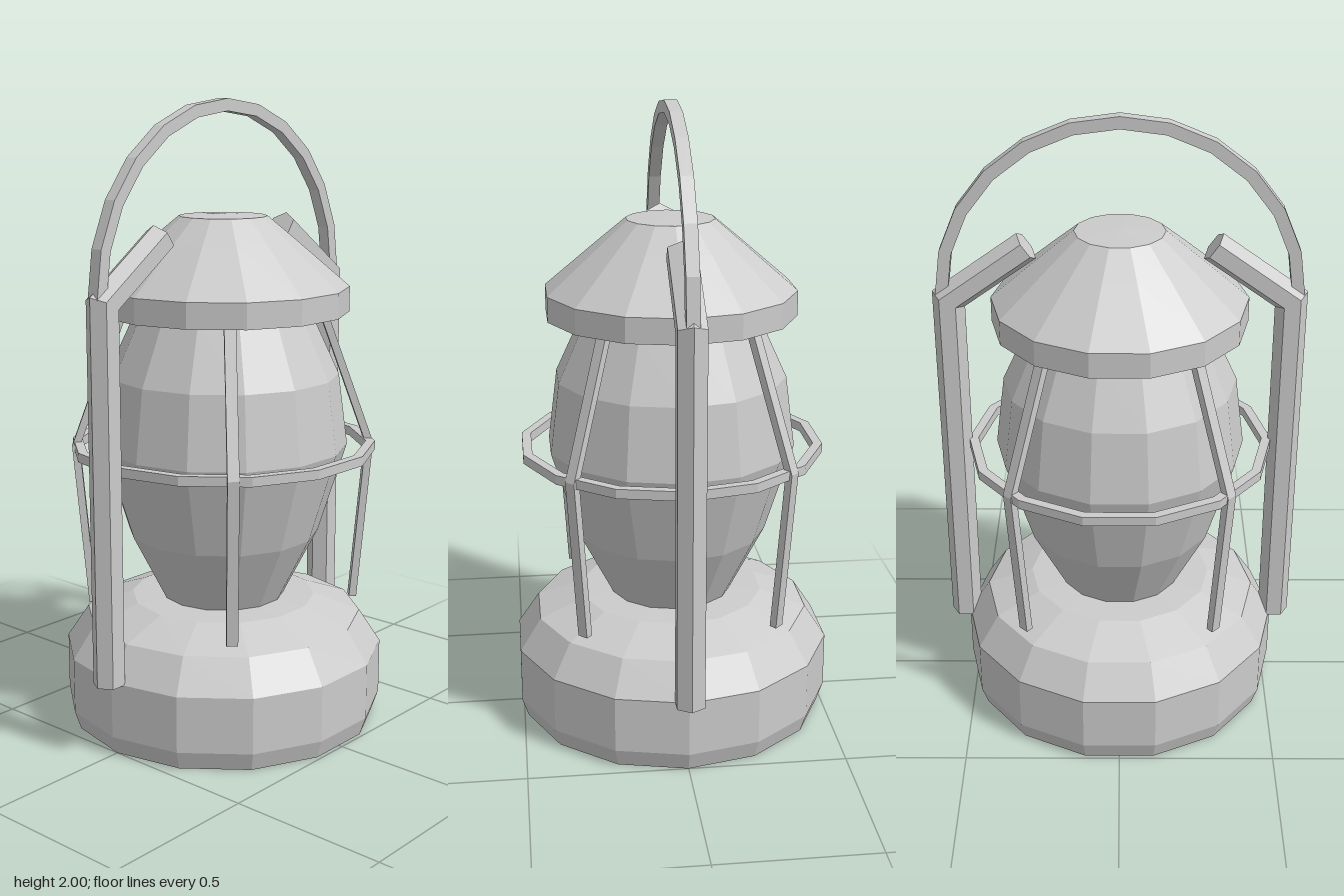
import * as THREE from 'three';

const SIDES = 14;
const material = new THREE.MeshStandardMaterial({ color: 0xcccccc, flatShading: true });

function mesh(name, geometry) {
  const flat = geometry.index ? geometry.toNonIndexed() : geometry;
  flat.computeVertexNormals();
  const m = new THREE.Mesh(flat, material);
  m.name = name;
  return m;
}

// Faceted turned part, with a corner on the x axis
function turned(name, profile) {
  const points = profile.map(([r, y]) => new THREE.Vector2(r, y));
  return mesh(name, new THREE.LatheGeometry(points, SIDES, Math.PI / 2));
}

// Capped, mitred bar: sweeps a section of [across, depth] corners along a path in the xy plane
function bar(name, path, section) {
  const points = path.map(([x, y]) => new THREE.Vector2(x, y));
  const n = section.length, last = points.length - 1;
  const position = [], index = [];
  points.forEach((p, i) => {
    const before = p.clone().sub(points[Math.max(i - 1, 0)]).normalize();
    const after = points[Math.min(i + 1, last)].clone().sub(p).normalize();
    const t = before.clone().add(after).normalize();
    const stretch = 1 / t.dot(i < last ? after : before);
    for (const [u, v] of section) {
      position.push(p.x + t.y * u * stretch, p.y - t.x * u * stretch, -v);
    }
  });
  for (let i = 0; i < last; i++) {
    for (let j = 0; j < n; j++) {
      const a = i * n + j, b = i * n + (j + 1) % n;
      index.push(a, b, b + n, a, b + n, a + n);
    }
  }
  for (let j = 1; j < n - 1; j++) {
    index.push(0, j + 1, j, last * n, last * n + j, last * n + j + 1);
  }
  const g = new THREE.BufferGeometry();
  g.setAttribute('position', new THREE.Float32BufferAttribute(position, 3));
  g.setIndex(index);
  return mesh(name, g);
}

const rect = (w, d) => [[w / 2, -d / 2], [w / 2, d / 2], [-w / 2, d / 2], [-w / 2, -d / 2]];
const hexagon = (r) => Array.from({ length: 6 }, (_, i) =>
  [r * Math.cos(i * Math.PI / 3), r * Math.sin(i * Math.PI / 3)]);

export function createModel() {
  const lantern = new THREE.Group();
  lantern.name = 'lantern';

  // Fuel tank, glass globe and cap
  lantern.add(turned('fuelTank', [
    [0, 0], [0.5, 0], [0.52, 0.06], [0.52, 0.24], [0.45, 0.345], [0.3, 0.4], [0, 0.41],
  ]));
  lantern.add(turned('globe', [
    [0, 0.4], [0.2, 0.405], [0.31, 0.62], [0.4, 0.91], [0.37, 1.14], [0.28, 1.335], [0, 1.35],
  ]));
  lantern.add(turned('cap', [
    [0, 1.335], [0.4, 1.34], [0.4, 1.42], [0.23, 1.565], [0.14, 1.64], [0, 1.645],
  ]));

  // Wire guard: one ring and four bent rods
  lantern.add(turned('guardRing', [
    [0.46, 0.89], [0.49, 0.89], [0.49, 0.92], [0.46, 0.92], [0.46, 0.89],
  ]));
  for (let i = 0; i < 4; i++) {
    const rod = bar('guardRod', [[0.43, 0.38], [0.475, 0.905], [0.31, 1.36]], rect(0.024, 0.036));
    rod.rotation.y = Math.PI / 4 + i * Math.PI / 2;
    lantern.add(rod);
  }

  // Side tubes with an arm bent in towards the cap
  for (const [name, s] of [['leftTube', 1], ['rightTube', -1]]) {
    lantern.add(bar(name, [[s * 0.53, 0.24], [s * 0.53, 1.415], [s * 0.285, 1.59]], hexagon(0.05)));
  }

  // Arched carrying handle
  const arch = Array.from({ length: 13 }, (_, i) => {
    const a = i * Math.PI / 12;
    return [0.55 * Math.cos(a), 1.43 + 0.55 * Math.sin(a)];
  });
  lantern.add(bar('handle', arch, rect(0.038, 0.04)));

  return lantern;
}
